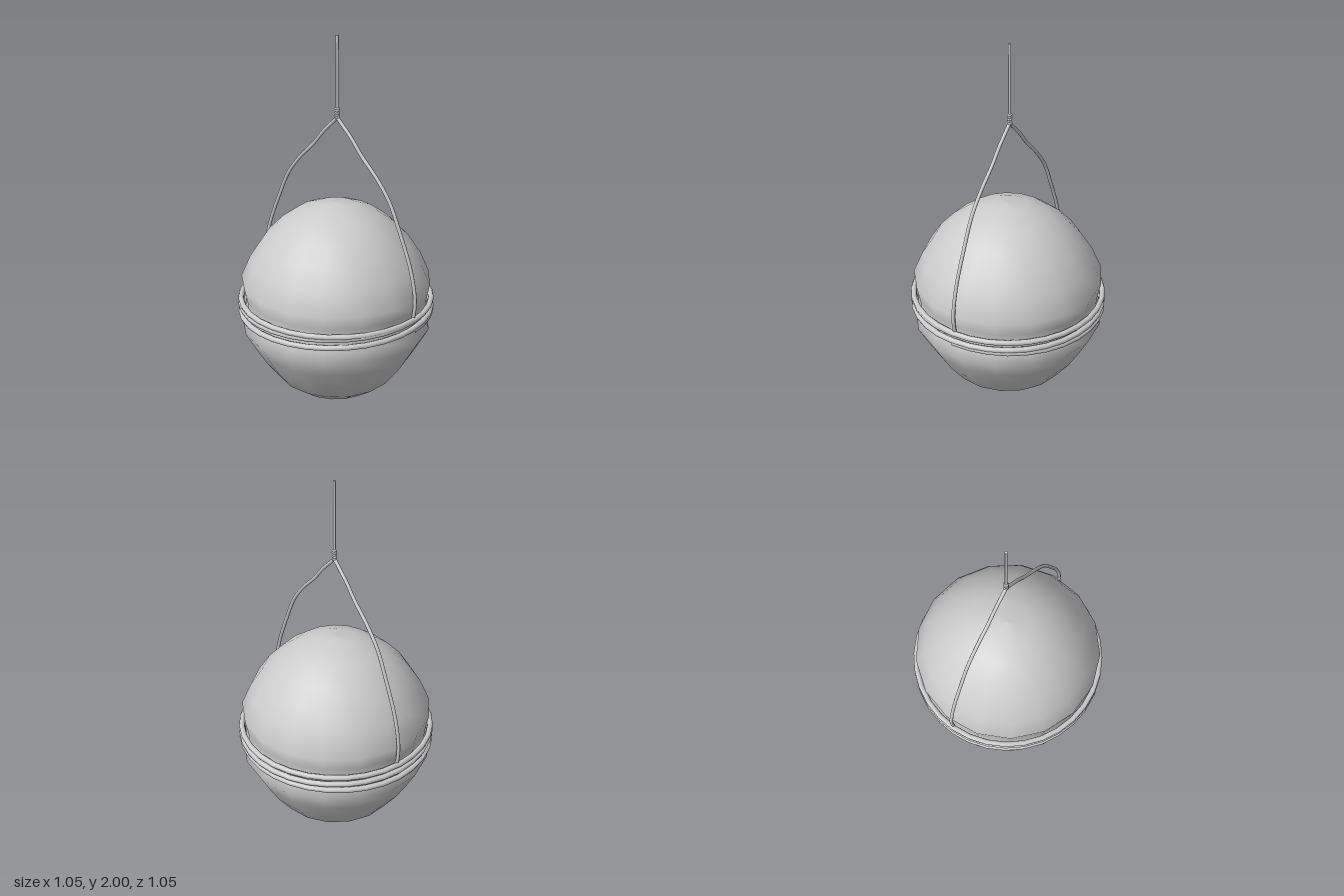
import * as THREE from 'three';

export function createModel() {
  const group = new THREE.Group();
  const material = new THREE.MeshStandardMaterial({ color: 0xcccccc });
  const add = (name, geometry) => {
    const mesh = new THREE.Mesh(geometry, material);
    mesh.name = name;
    group.add(mesh);
    return mesh;
  };
  const ropeZ = -0.01;

  // Ball: 17-sided, squeezed a little where the rope wraps it
  const profile = [
    [0, 0.005], [0.11, 0.02], [0.215, 0.063], [0.315, 0.135], [0.395, 0.24],
    [0.455, 0.34], [0.505, 0.43], [0.49, 0.49], [0.482, 0.56], [0.49, 0.62], [0.505, 0.69],
    [0.455, 0.805], [0.39, 0.905], [0.31, 0.99], [0.215, 1.06], [0.11, 1.102], [0, 1.115],
  ].map(([r, y]) => new THREE.Vector2(r, y));
  add('ball', new THREE.LatheGeometry(profile, 17, Math.PI));

  // Rope wound three times round the waist; heights are given every half turn
  const heights = [0.53, 0.502, 0.542, 0.546, 0.588, 0.585, 0.592];
  const wrapPoints = [];
  const steps = 15;
  for (let i = 0; i <= (heights.length - 1) * steps; i++) {
    const half = Math.min(Math.floor(i / steps), heights.length - 2);
    const t = i / steps - half;
    const a = (i / steps) * Math.PI;
    const y = THREE.MathUtils.lerp(heights[half], heights[half + 1], t);
    wrapPoints.push(new THREE.Vector3(Math.cos(a) * 0.508, y, -Math.sin(a) * 0.508));
  }
  add('waistRope', new THREE.TubeGeometry(new THREE.CatmullRomCurve3(wrapPoints), 96, 0.015, 8));

  // Two bridle ropes rising from the wrap to the knot
  const bridle = [
    [0.498, 0.585], [0.508, 0.64], [0.508, 0.72], [0.475, 0.87], [0.4, 1.06], [0.335, 1.2],
    [0.25, 1.31], [0.16, 1.4], [0.09, 1.485], [0.04, 1.535], [0.005, 1.57],
  ];
  for (const [name, side] of [['leftBridleRope', 1], ['rightBridleRope', -1]]) {
    const points = bridle.map(([x, y]) => new THREE.Vector3(x * side, y, ropeZ));
    add(name, new THREE.TubeGeometry(new THREE.CatmullRomCurve3(points), 30, 0.0095, 8));
  }

  // Knot: stacked turns of cord at the join
  for (let i = 0; i < 5; i++) {
    const turn = add('knotTurn', new THREE.TorusGeometry(0.008, 0.006, 6, 12));
    turn.rotation.set(Math.PI / 2, i % 2 ? 0.12 : -0.12, 0);
    turn.position.set(0, 1.576 + i * 0.0115, ropeZ);
  }

  // Hanging line
  add('hangingLine', new THREE.CylinderGeometry(0.0075, 0.0075, 0.44, 8))
    .position.set(0, 1.78, ropeZ);

  return group;
}
